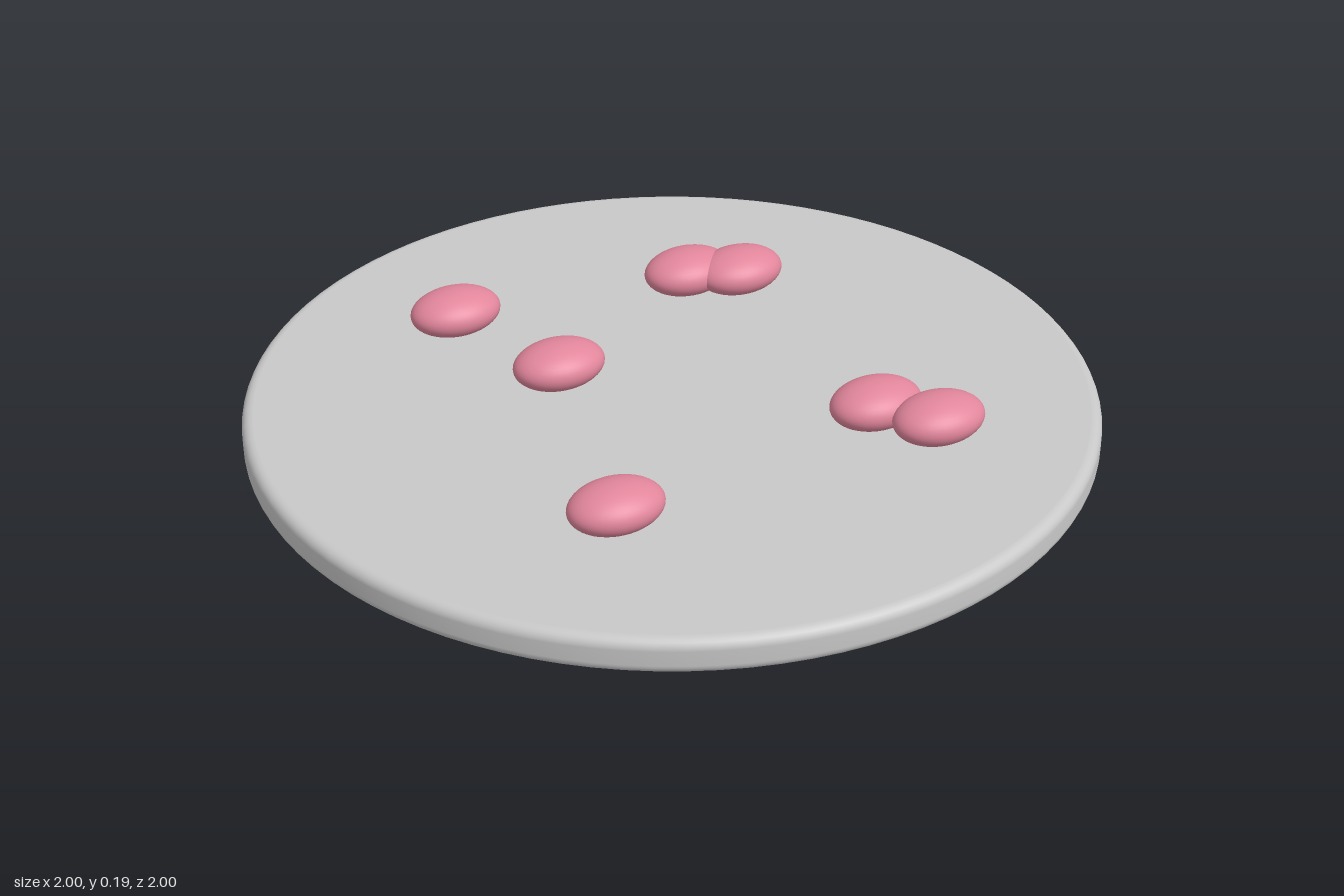
import * as THREE from 'three';

const grey = new THREE.MeshStandardMaterial({ name: 'plateGrey', color: 0xc8c8c8 });
const pink = new THREE.MeshStandardMaterial({ name: 'pebblePink', color: 0xe2869c });

// Round plate with softly rounded top and bottom rims
function createPlate(radius, height, bevel) {
  const profile = [new THREE.Vector2(0, 0)];
  const corner = (cy, start) => {
    for (let i = 0; i <= 6; i++) {
      const a = start + (i / 6) * Math.PI / 2;
      profile.push(new THREE.Vector2(radius - bevel + bevel * Math.cos(a), cy + bevel * Math.sin(a)));
    }
  };
  // Doubled rings keep the flat faces evenly shaded
  profile.push(new THREE.Vector2(radius - bevel - 0.002, 0));
  corner(bevel, -Math.PI / 2);
  corner(height - bevel, 0);
  profile.push(new THREE.Vector2(radius - bevel - 0.002, height), new THREE.Vector2(0, height));
  const plate = new THREE.Mesh(new THREE.LatheGeometry(profile, 96), grey);
  plate.name = 'plate';
  return plate;
}

export function createModel() {
  const group = new THREE.Group();
  group.name = 'plateWithPebbles';
  group.add(createPlate(1, 0.086, 0.025));

  // Flattened oval pebbles resting on the plate: x, z
  const spots = [
    [-0.33, -0.495], [-0.22, -0.15], [-0.375, 0.447],
    [0.263, -0.41], [0.378, -0.355], [0.342, 0.348], [0.434, 0.47],
  ];
  const oval = new THREE.SphereGeometry(1, 40, 24).scale(0.113, 0.055, 0.084);
  spots.forEach(([x, z], i) => {
    const pebble = new THREE.Mesh(oval, pink);
    pebble.name = `pebble${i + 1}`;
    pebble.position.set(x, 0.133, z);
    group.add(pebble);
  });
  return group;
}
